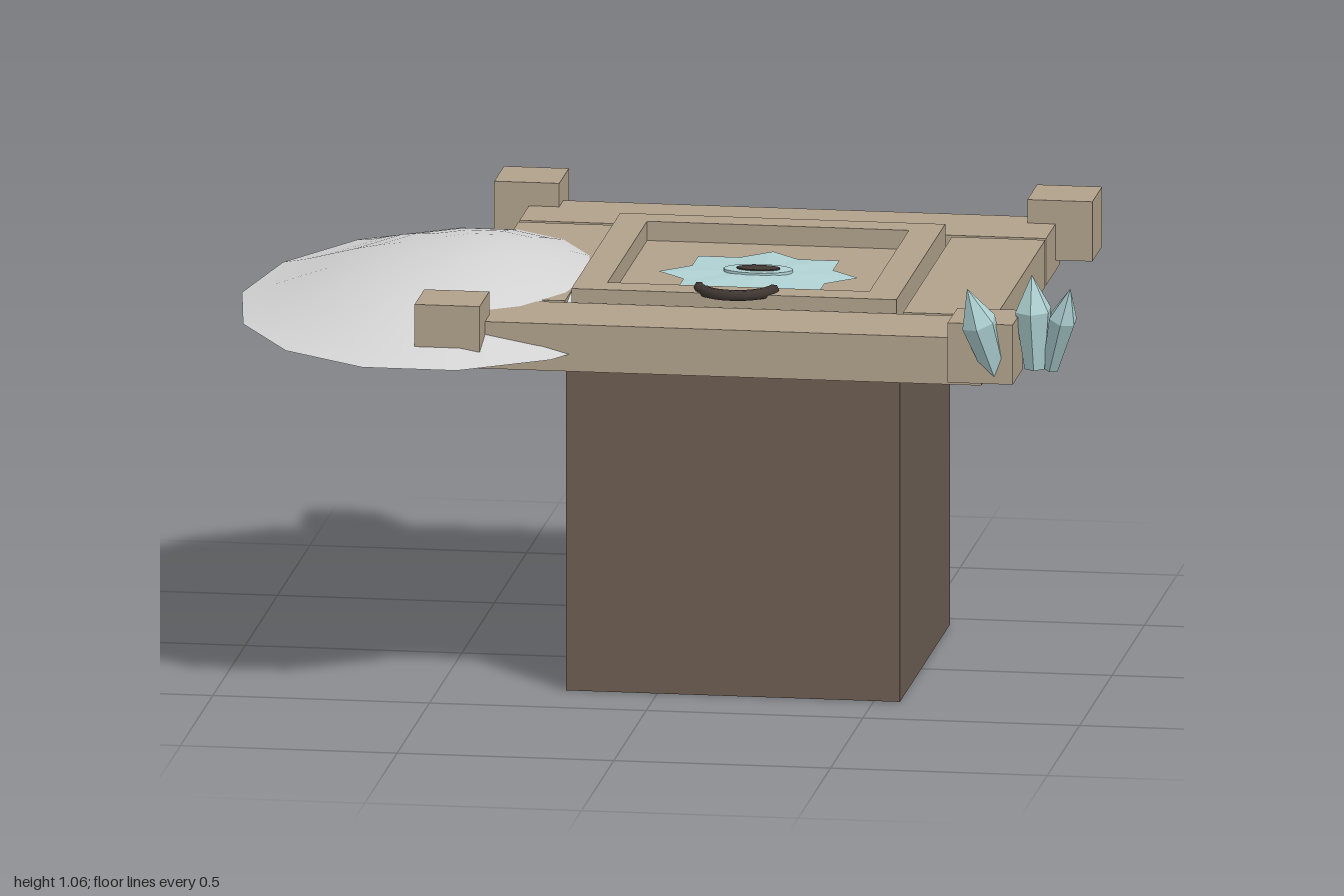
import * as THREE from 'three';

const mat = (name, color, extra = {}) => {
  const m = new THREE.MeshStandardMaterial({ color, ...extra });
  m.name = name;
  return m;
};

export function createModel() {
  const group = new THREE.Group();
  const stone = mat('sandstone', 0xb0a18b);
  const brown = mat('shaft brown', 0x6b5d52);
  const black = mat('dark interior', 0x231f1e);
  const iron = mat('dark iron', 0x403833);
  const ice = mat('ice', 0xb0d2d4, { flatShading: true });
  const snow = mat('snow', 0xd4d4d4, { side: THREE.DoubleSide });

  const add = (name, geometry, material) => {
    const mesh = new THREE.Mesh(geometry, material);
    mesh.name = name;
    group.add(mesh);
    return mesh;
  };

  // Box given by its extents on each axis
  const box = (name, m, x0, x1, y0, y1, z0, z1) =>
    add(name, new THREE.BoxGeometry(x1 - x0, y1 - y0, z1 - z0), m)
      .position.set((x0 + x1) / 2, (y0 + y1) / 2, (z0 + z1) / 2);

  // Rectangular tube standing along y, with walls of thickness t
  const tube = (name, m, x0, x1, y0, y1, z0, z1, t) => {
    const rect = (P, a, b, c, d) => new P([[a, c], [b, c], [b, d], [a, d]].map(p => new THREE.Vector2(...p)));
    const shape = rect(THREE.Shape, x0, x1, -z1, -z0);
    shape.holes.push(rect(THREE.Path, x0 + t, x1 - t, -z1 + t, -z0 - t));
    const g = new THREE.ExtrudeGeometry(shape, { depth: y1 - y0, bevelEnabled: false });
    g.rotateX(-Math.PI / 2).translate(0, y0, 0);
    add(name, g, m);
  };

  // Shaft with a dark floor
  tube('shaft', brown, -0.21, 0.56, 0, 0.8, -0.445, 0.33, 0.02);
  box('shaftFloor', black, -0.19, 0.54, 0.02, 0.04, -0.425, 0.31);

  // Stone frame
  box('frontBeam', stone, -0.435, 0.78, 0.8, 0.91, 0.33, 0.545);
  box('backBeam', stone, -0.435, 0.78, 0.8, 0.91, -0.665, -0.455);
  box('leftBeam', stone, 0.565, 0.78, 0.8, 0.91, -0.44, 0.315);
  box('rightBeam', stone, -0.435, -0.215, 0.8, 0.91, -0.44, 0.315);
  for (const x of [-0.44, 0.79])
    for (const z of [-0.675, 0.555])
      box('cornerBlock', stone, x - 0.075, x + 0.075, 0.825, 0.965, z - 0.075, z + 0.075);

  // Lid: raised rim around a sunken panel
  tube('lidRim', stone, -0.2, 0.55, 0.8, 0.94, -0.437, 0.318, 0.073);
  box('lidPanel', stone, -0.13, 0.48, 0.8, 0.895, -0.367, 0.248);

  // Eight-pointed star, slightly raised at its centre
  const cx = 0.175, cz = -0.06;
  const starPos = [];
  const starPoint = i => {
    const r = i % 2 ? 0.176 : 0.23, a = i * Math.PI / 8;
    return [r * Math.cos(a), 0, r * Math.sin(a)];
  };
  for (let i = 0; i < 16; i++) starPos.push(0, 0.012, 0, ...starPoint(i + 1), ...starPoint(i));
  const starGeo = new THREE.BufferGeometry();
  starGeo.setAttribute('position', new THREE.Float32BufferAttribute(starPos, 3));
  starGeo.computeVertexNormals();
  add('star', starGeo, ice).position.set(cx, 0.897, cz);

  // Eye at the centre of the star
  const disc = (name, m, rx, rz, y) => {
    const d = add(name, new THREE.CylinderGeometry(1, 1, 0.008, 24), m);
    d.scale.set(rx, 1, rz);
    d.position.set(cx, y, cz);
  };
  disc('eyeRing', ice, 0.08, 0.045, 0.907);
  disc('eyePupil', iron, 0.05, 0.025, 0.91);

  // Curved pull handle
  const arc = Math.PI * 0.88;
  const handleGeo = new THREE.TorusGeometry(0.088, 0.013, 6, 14, arc);
  handleGeo.rotateZ((Math.PI - arc) / 2).rotateX(Math.PI / 2);
  add('handle', handleGeo, iron).position.set(cx, 0.944, 0.26);

  // Snow drift: oval mound with its crest shifted towards the lid
  const SEG = 14, RINGS = 8, pos = [], idx = [];
  for (let j = 0; j <= RINGS; j++) {
    const r = j / RINGS;
    for (let i = 0; i < SEG; i++) {
      const a = i / SEG * Math.PI * 2;
      pos.push(-0.51 + 0.05 * (1 - r) + 0.49 * r * Math.cos(a),
        0.84 + 0.125 * (1 - r * r) ** 1.3, 0.05 + 0.71 * r * Math.sin(a));
      if (j === RINGS) continue;
      const p = j * SEG + i, q = j * SEG + (i + 1) % SEG;
      idx.push(p, q + SEG, p + SEG);
      if (j > 0) idx.push(p, q, q + SEG);
    }
  }
  const snowGeo = new THREE.BufferGeometry();
  snowGeo.setAttribute('position', new THREE.Float32BufferAttribute(pos, 3));
  snowGeo.setIndex(idx);
  snowGeo.computeVertexNormals();
  // All crest vertices coincide, so they share one upright normal
  for (let i = 0; i < SEG; i++) snowGeo.attributes.normal.setXYZ(i, 0, 1, 0);
  add('snowDrift', snowGeo, snow);

  // Ice crystals leaning out from the front left corner
  const up = new THREE.Vector3(0, 1, 0);
  const crystals = [
    [[0.825, 0.835, 0.6], [0.765, 1.055, 0.665], 0.042],
    [[0.9, 0.84, 0.515], [0.895, 1.062, 0.535], 0.044],
    [[0.935, 0.84, 0.51], [0.99, 1.042, 0.575], 0.034],
  ];
  for (const [b, t, r] of crystals) {
    const base = new THREE.Vector3(...b);
    const dir = new THREE.Vector3(...t).sub(base);
    const h = dir.length();
    const profile = [[0, 0], [r * 0.6, 0], [r, h * 0.62], [0, h]].map(p => new THREE.Vector2(...p));
    const c = add('iceCrystal', new THREE.LatheGeometry(profile, 6), ice);
    c.position.copy(base);
    c.quaternion.setFromUnitVectors(up, dir.normalize());
  }
  return group;
}
